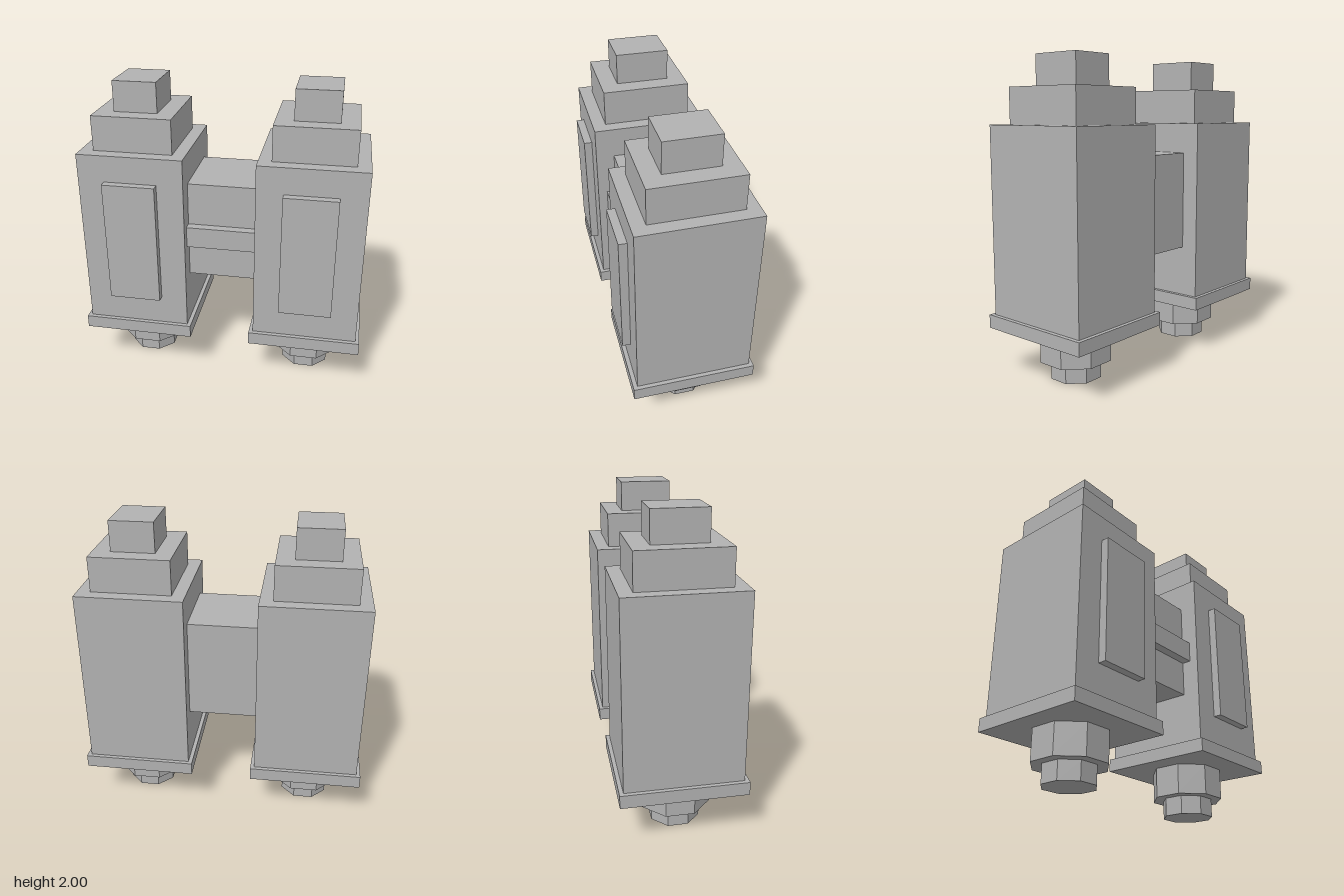
import * as THREE from 'three';

export function createModel() {
  const grey = new THREE.MeshStandardMaterial({ color: 0xb2b2b2 });
  grey.name = 'grey';
  const model = new THREE.Group();
  model.name = 'twinTowers';

  // Box given by its lower and upper corners
  function box(parent, name, [x0, y0, z0], [x1, y1, z1]) {
    const mesh = new THREE.Mesh(new THREE.BoxGeometry(x1 - x0, y1 - y0, z1 - z0), grey);
    mesh.position.set((x0 + x1) / 2, (y0 + y1) / 2, (z0 + z1) / 2);
    mesh.name = name;
    parent.add(mesh);
  }

  // Eight-sided prism with flats facing the axes
  function octagon(parent, name, apothem, y0, y1) {
    const r = apothem / Math.cos(Math.PI / 8);
    const geo = new THREE.CylinderGeometry(r, r, y1 - y0, 8).toNonIndexed();
    geo.rotateY(Math.PI / 8);
    geo.computeVertexNormals();
    const mesh = new THREE.Mesh(geo, grey);
    mesh.position.set(0, (y0 + y1) / 2, -0.013);
    mesh.name = name;
    parent.add(mesh);
  }

  // Left and right towers
  for (const side of [-1, 1]) {
    const tower = new THREE.Group();
    tower.name = side > 0 ? 'leftTower' : 'rightTower';
    tower.position.x = side * 0.564;
    octagon(tower, 'lowerNozzle', 0.155, 0, 0.118);
    octagon(tower, 'upperNozzle', 0.219, 0.118, 0.315);
    box(tower, 'basePlate', [-0.365, 0.315, -0.405], [0.365, 0.4, 0.38]);
    box(tower, 'body', [-0.339, 0.4, -0.38], [0.339, 1.58, 0.353]);
    box(tower, 'frontPanel', [-0.169, 0.6, 0.353], [0.169, 1.407, 0.405]);
    box(tower, 'shoulder', [-0.255, 1.58, -0.295], [0.255, 1.805, 0.267]);
    box(tower, 'cap', [-0.14, 1.805, -0.183], [0.14, 2, 0.155]);
    model.add(tower);
  }

  // Bridge between the towers, with its front rail
  box(model, 'bridge', [-0.227, 0.735, -0.27], [0.227, 1.383, 0.234]);
  box(model, 'bridgeRail', [-0.227, 0.965, 0.234], [0.227, 1.103, 0.293]);
  return model;
}
